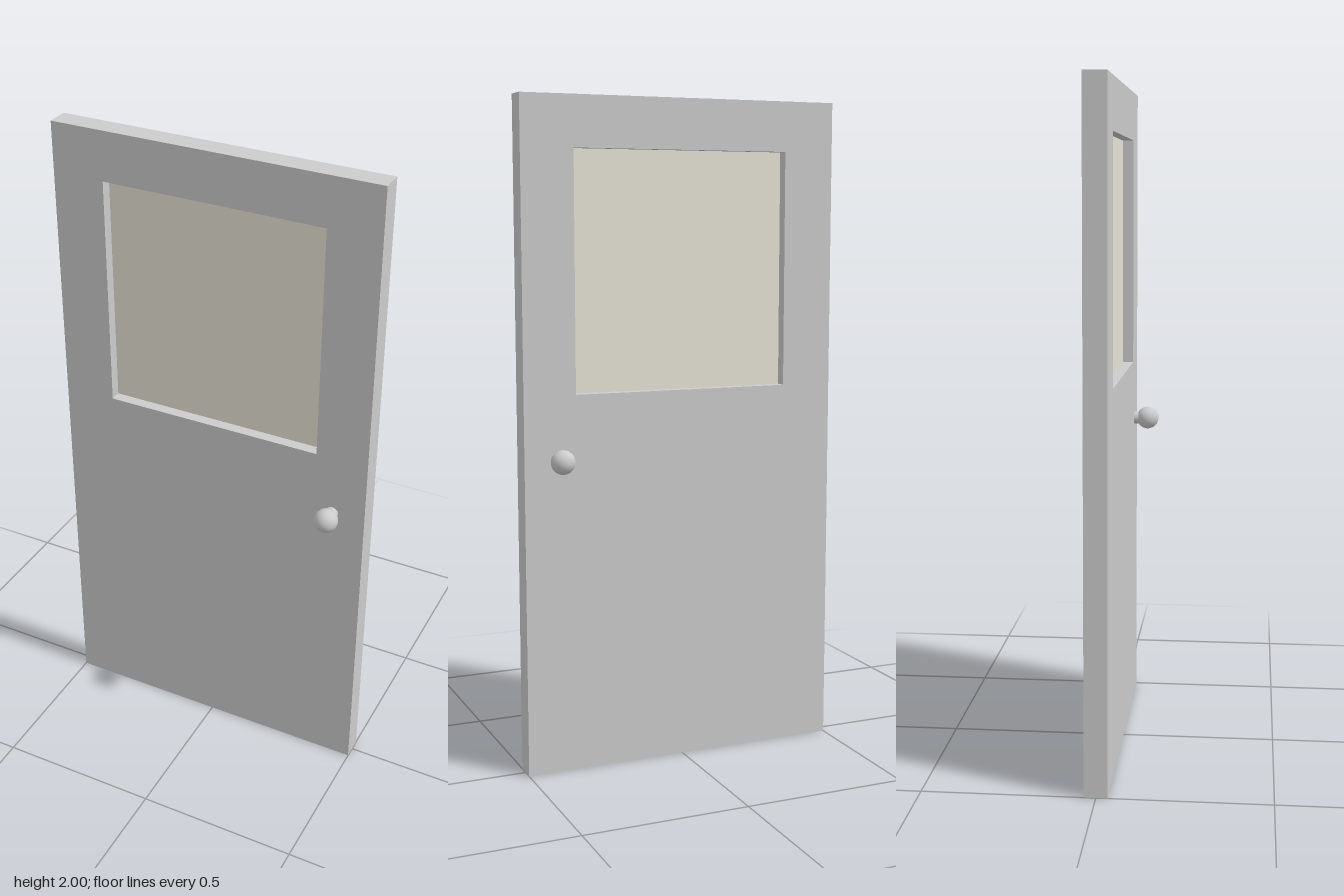
import * as THREE from 'three';

const W = 1, H = 2, T = 0.068;                           // door slab
const WIN = { x: 0.34, bottom: 1.14, top: 1.85 };        // window opening
const KNOB = { x: 0.397, y: 0.95, z: 0.078, r: 0.036 };

export function createModel() {
  const group = new THREE.Group();
  const grey = new THREE.MeshStandardMaterial({ color: 0xcccccc });
  const cream = new THREE.MeshStandardMaterial({ color: 0xe7e4d6, side: THREE.DoubleSide });

  const add = (name, geometry, material, x, y, z, parent = group) => {
    const mesh = new THREE.Mesh(geometry, material);
    mesh.name = name;
    mesh.position.set(x, y, z);
    parent.add(mesh);
    return mesh;
  };
  const rectangle = (Type, x, bottom, top) => new Type([
    new THREE.Vector2(-x, bottom), new THREE.Vector2(x, bottom),
    new THREE.Vector2(x, top), new THREE.Vector2(-x, top),
  ]);

  // Slab with a rectangular window opening
  const slab = rectangle(THREE.Shape, W / 2, 0, H);
  slab.holes.push(rectangle(THREE.Path, WIN.x, WIN.bottom, WIN.top));
  add('doorPanel', new THREE.ExtrudeGeometry(slab, { depth: T, bevelEnabled: false }), grey, 0, 0, -T / 2);

  // Thin pane in the middle of the opening
  add('windowPane', new THREE.PlaneGeometry(2 * WIN.x, WIN.top - WIN.bottom), cream,
    0, (WIN.top + WIN.bottom) / 2, 0);

  // A round knob on a short stem, on each face
  for (const [side, s] of [['front', 1], ['back', -1]]) {
    const handle = new THREE.Group();
    handle.name = side + 'Handle';
    group.add(handle);
    const length = KNOB.z - T / 2;
    const stem = new THREE.CylinderGeometry(0.02, 0.02, length, 32, 1, true).rotateX(Math.PI / 2);
    add(side + 'Stem', stem, grey, KNOB.x, KNOB.y, s * (T / 2 + length / 2), handle);
    add(side + 'Knob', new THREE.SphereGeometry(KNOB.r, 32, 20), grey, KNOB.x, KNOB.y, s * KNOB.z, handle);
  }
  return group;
}
